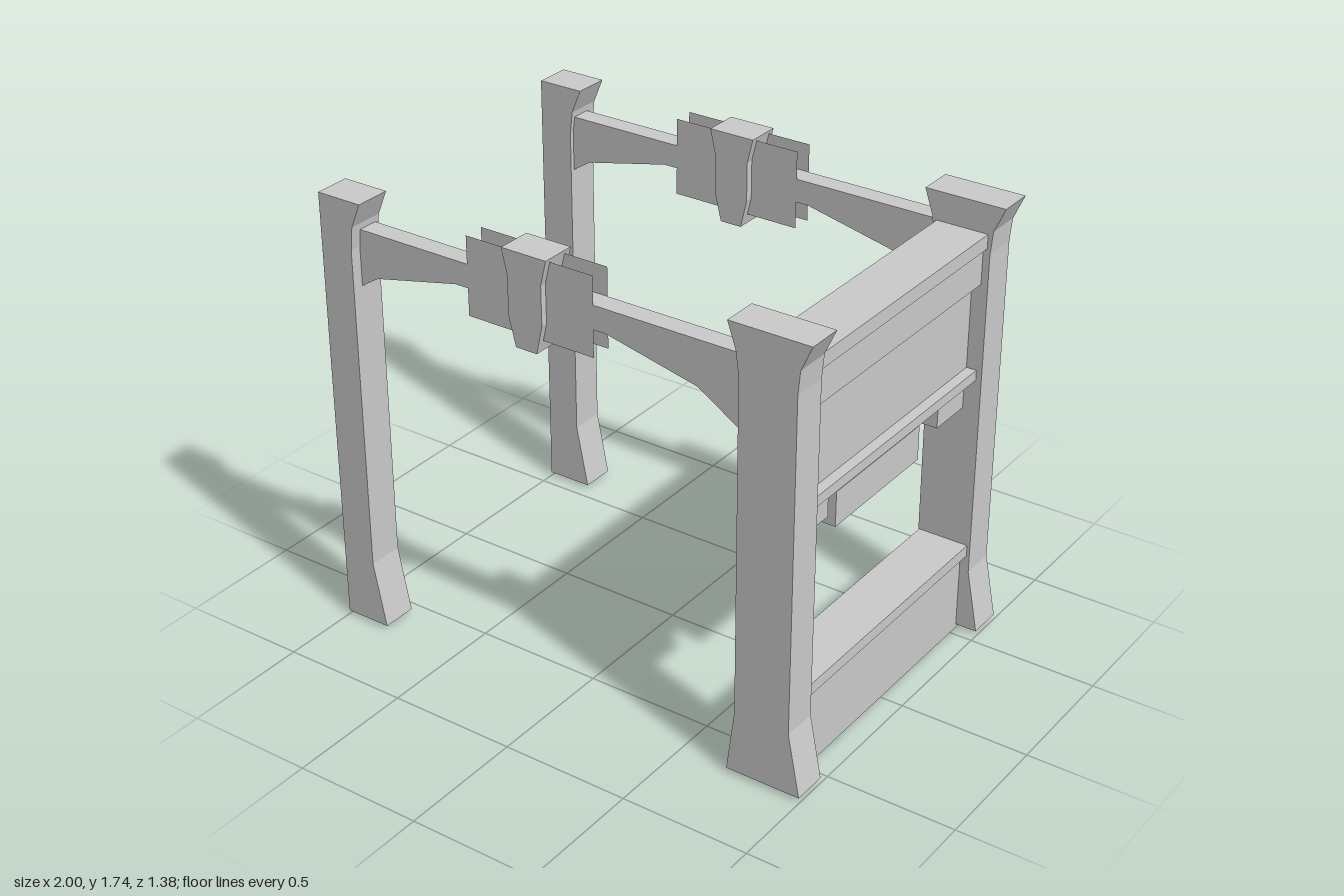
import * as THREE from 'three';

const stone = new THREE.MeshStandardMaterial({ color: 0xcccccc, side: THREE.DoubleSide });
stone.name = 'paleGrey';

function add(parent, name, geometry) {
  const mesh = new THREE.Mesh(geometry, stone);
  mesh.name = name;
  parent.add(mesh);
  return mesh;
}

// Box given by its limits on each axis
function box(parent, name, [x0, x1], [y0, y1], [z0, z1]) {
  const g = new THREE.BoxGeometry(x1 - x0, y1 - y0, z1 - z0);
  g.translate((x0 + x1) / 2, (y0 + y1) / 2, (z0 + z1) / 2);
  return add(parent, name, g);
}

// Hollow post from rows [y, left, right]: front, back, right and top faces, open left and bottom
function shell(parent, name, rows, z0, z1) {
  const pos = [];
  const quad = (a, b, c, d) => pos.push(...a, ...b, ...c, ...a, ...c, ...d);
  for (let i = 0; i < rows.length - 1; i++) {
    const [y, l, r] = rows[i], [Y, L, R] = rows[i + 1];
    quad([l, y, z1], [r, y, z1], [R, Y, z1], [L, Y, z1]);
    quad([r, y, z0], [l, y, z0], [L, Y, z0], [R, Y, z0]);
    quad([r, y, z1], [r, y, z0], [R, Y, z0], [R, Y, z1]);
  }
  const [y, l, r] = rows[rows.length - 1];
  quad([l, y, z1], [r, y, z1], [r, y, z0], [l, y, z0]);
  const g = new THREE.BufferGeometry();
  g.setAttribute('position', new THREE.Float32BufferAttribute(pos, 3));
  g.computeVertexNormals();
  return add(parent, name, g);
}

const halfPost = [[0.015, -1, -0.815], [0.27, -1, -0.865], [1.55, -1, -0.865],
  [1.64, -1, -0.855], [1.735, -1, -0.815]];
const fullPost = [[0.015, 0.7, 0.995], [0.26, 0.73, 0.947], [1.55, 0.727, 0.947],
  [1.64, 0.715, 0.955], [1.735, 0.682, 0.997]];
const keystone = [[1.38, -0.165, -0.078], [1.49, -0.193, -0.053], [1.64, -0.193, -0.053],
  [1.735, -0.215, -0.03]];
const archOutline = [[-0.97, 1.33], [-0.79, 1.445], [-0.44, 1.525], [0.19, 1.525],
  [0.55, 1.445], [0.735, 1.33], [0.735, 1.615], [-0.97, 1.615]];

// One arched side: two posts, beam, keystone and the flat plates around it
function archedSide(name, s) {
  const side = new THREE.Group();
  side.name = name;
  const span = (a, b) => (s > 0 ? [a, b] : [-b - 0.005, -a - 0.005]);
  shell(side, 'halfPost', halfPost, ...span(0.55, 0.69));
  shell(side, 'fullPost', fullPost, ...span(0.537, 0.675));
  shell(side, 'keystone', keystone, ...span(0.537, 0.672));

  const [z0, z1] = span(0.568, 0.646);
  const shape = new THREE.Shape(archOutline.map(p => new THREE.Vector2(...p)));
  const beam = new THREE.ExtrudeGeometry(shape, { depth: z1 - z0, bevelEnabled: false });
  beam.translate(0, 0, z0);
  add(side, 'archBeam', beam);

  for (const z of [z0 - 0.001, z1 + 0.001]) {
    const plate = new THREE.PlaneGeometry(0.525, 0.3);
    plate.translate(-0.122, 1.572, z);
    add(side, 'keystonePlate', plate);
  }
  return side;
}

export function createModel() {
  const model = new THREE.Group();
  model.name = 'gateFrame';
  model.add(archedSide('frontArch', 1), archedSide('backArch', -1));

  // End wall between the full posts
  const wall = new THREE.Group();
  wall.name = 'endWall';
  model.add(wall);
  const z = [-0.59, 0.59];
  box(wall, 'topLip', [0.733, 0.935], [1.57, 1.625], z);
  box(wall, 'upperBand', [0.75, 0.92], [1.43, 1.57], z);
  box(wall, 'wallPanel', [0.78, 0.885], [1.095, 1.43], z);
  box(wall, 'panelSill', [0.745, 0.925], [1.055, 1.095], z);
  box(wall, 'baseSill', [0.733, 0.935], [0.325, 0.37], z);
  box(wall, 'baseWall', [0.755, 0.91], [0, 0.325], z);

  // Corner brackets and hanging board
  for (const s of [-1, 1]) {
    box(wall, 'bracket', [0.79, 0.88], [0.93, 1.055], s > 0 ? [0.36, 0.59] : [-0.59, -0.36]);
    box(wall, 'hanger', [0.825, 0.837], [0.975, 1.055], [s * 0.15 - 0.006, s * 0.15 + 0.006]);
  }
  box(wall, 'hangingBoard', [0.8, 0.86], [0.84, 0.977], [-0.27, 0.275]);

  return model;
}
